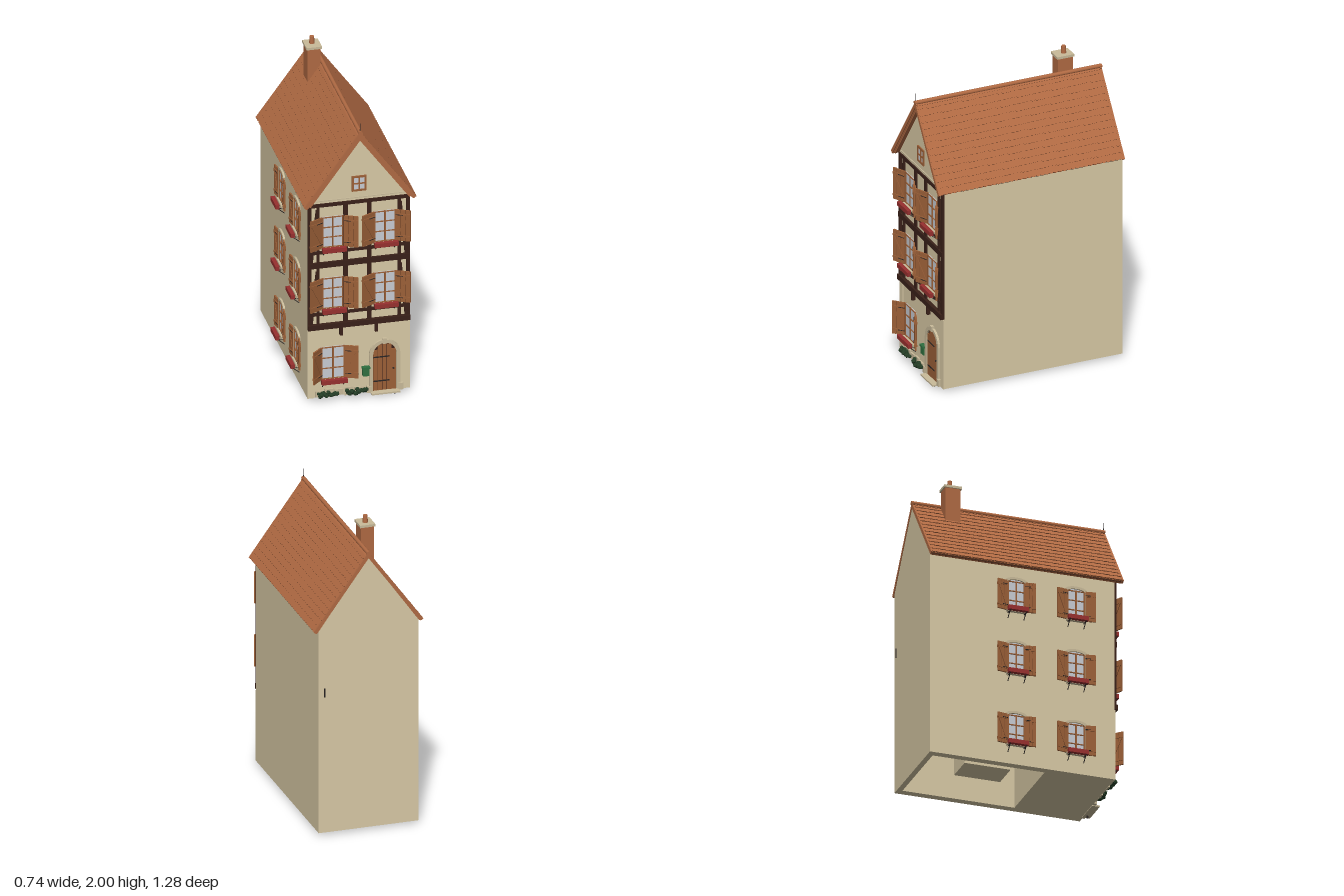
import * as THREE from 'three';

const mat = (name, color) => Object.assign(new THREE.MeshStandardMaterial({ color }), { name });
const M = {
  plaster: mat('plaster', 0xd9caa6),
  stone: mat('stone', 0xc9bb9a),
  roof: mat('roofTile', 0xb06a43),
  timber: mat('darkTimber', 0x3a2119),
  wood: mat('shutterWood', 0x9c6038),
  glass: mat('glass', 0xc9cdd4),
  red: mat('redFlowerBox', 0x98302f),
  leaf: mat('leaf', 0x243d26),
  green: mat('greenPaint', 0x2f7040),
  iron: mat('iron', 0x2a2524),
};

function add(parent, name, geo, material, x = 0, y = 0, z = 0) {
  const m = new THREE.Mesh(geo, material);
  m.name = name;
  m.position.set(x, y, z);
  parent.add(m);
  return m;
}
const box = (p, name, m, w, h, d, x, y, z) => add(p, name, new THREE.BoxGeometry(w, h, d), m, x, y, z);
const group = (p, name) => {
  const g = new THREE.Group();
  g.name = name;
  p.add(g);
  return g;
};
const extrude = (shape, depth) => new THREE.ExtrudeGeometry(shape, { depth, bevelEnabled: false, curveSegments: 10 });
const poly = (pts) => new THREE.Shape(pts.map(([x, y]) => new THREE.Vector2(x, y)));

// Straight bar between two points in the xy plane
function bar(p, name, m, x1, y1, x2, y2, t, d, z) {
  const b = box(p, name, m, t, Math.hypot(x2 - x1, y2 - y1), d, (x1 + x2) / 2, (y1 + y2) / 2, z);
  b.rotation.z = -Math.atan2(x2 - x1, y2 - y1);
}

// Upright outline with a round or shallow arched top, base on y = 0
function arch(w, spring, rise, path = new THREE.Shape()) {
  path.moveTo(-w / 2, 0);
  path.lineTo(w / 2, 0);
  path.lineTo(w / 2, spring);
  for (let i = 1; i <= 12; i++) {
    const a = (i / 12) * Math.PI;
    path.lineTo((Math.cos(a) * w) / 2, spring + Math.sin(a) * rise);
  }
  path.closePath();
  return path;
}

// Plank shutter hinged at its inner edge; side is -1 or +1
function shutter(p, side, x, w, h, angle) {
  const g = group(p, 'shutter');
  g.position.set(x, 0, 0.008);
  g.rotation.y = -side * angle;
  const n = 3;
  for (let i = 0; i < n; i++)
    box(g, 'shutterPlank', M.wood, w / n - 0.002, h, 0.01, side * (i + 0.5) * w / n, h / 2, 0);
  for (const z of [-0.007, 0.007]) {
    for (const t of [0.15, 0.85]) box(g, 'shutterBatten', M.wood, w * 0.95, 0.014, 0.005, side * w / 2, h * t, z);
    bar(g, 'shutterBrace', M.wood, side * 0.01, h * 0.18, side * (w - 0.01), h * 0.82, 0.01, 0.004, z);
  }
  for (const t of [0.15, 0.85]) box(g, 'hinge', M.iron, w * 0.5, 0.004, 0.002, side * w * 0.25, h * t, 0.0105);
}

// Casement with glazing bars, shutters and flower box, facing +z, sill at y = 0
function makeWindow(p, { w, h, sw, angles, arched }) {
  const g = group(p, 'window');
  if (arched) {
    const s = arch(w + 0.024, h, 0.026);
    s.holes.push(arch(w, h - 0.012, 0.022, new THREE.Path()));
    add(g, 'windowSurround', extrude(s, 0.012), M.stone, 0, 0, 0);
    add(g, 'glass', extrude(arch(w, h - 0.012, 0.022), 0.003), M.glass);
  } else box(g, 'glass', M.glass, w, h, 0.004, 0, h / 2, 0.002);
  for (const x of [-w / 2 + 0.005, 0, w / 2 - 0.005]) box(g, 'windowUpright', M.wood, 0.009, h, 0.009, x, h / 2, 0.005);
  for (const t of [0.02, 0.34, 0.66, 0.98]) box(g, 'windowRail', M.wood, w, 0.006, 0.008, 0, h * t, 0.005);
  [-1, 1].forEach((s, i) => shutter(g, s, (s * w) / 2, sw, h, angles[i]));
  box(g, 'sill', M.stone, w + 0.01, 0.012, 0.022, 0, -0.004, 0.011);
  const bw = w + 0.012;
  box(g, 'flowerBox', M.red, bw, 0.028, 0.026, 0, 0, 0.046);
  for (const x of [-bw * 0.4, bw * 0.4]) {
    const b = box(g, 'flowerBoxBracket', M.iron, 0.004, 0.058, 0.004, x, -0.033, 0.022);
    b.rotation.x = 0.88;
    box(g, 'flowerBoxArm', M.iron, 0.004, 0.004, 0.05, x, -0.016, 0.028);
  }
}

const L = -0.31, R = 0.335, CX = 0.0125, F = 0.578, B = -0.625;
const EAVE = 1.36, PEAK = 1.815;

function buildWalls(house) {
  // Hollow shell, drawn in plan (y of the shape is -z)
  const plan = poly([[L, -F], [R, -F], [R, -B], [L, -B]]);
  const inner = [[L + 0.05, -0.14], [L + 0.05, -B - 0.035], [R - 0.05, -B - 0.035], [R - 0.05, -0.14]];
  plan.holes.push(new THREE.Path(inner.map(([x, y]) => new THREE.Vector2(x, y))));
  const shell = add(house, 'walls', extrude(plan, EAVE - 0.02), M.plaster, 0, 0.02, 0);
  shell.rotation.x = -Math.PI / 2;
  box(house, 'innerCore', M.plaster, 0.19, 1.28, 0.3, -0.05, 0.7, -0.19);
  // Gables fill the roof space
  add(house, 'gable', extrude(poly([[L, EAVE], [R, EAVE], [CX, PEAK]]), F - B + 0.006), M.plaster, 0, 0, B);
  for (const x of [L + 0.022, R - 0.022]) box(house, 'cornerPier', M.plaster, 0.045, 0.47, 0.008, x, 0.255, F + 0.002);
  box(house, 'wallAnchor', M.iron, 0.006, 0.06, 0.006, 0.296, 0.95, B - 0.002);
}

function buildTimber(house) {
  const g = group(house, 'timberFrame');
  for (const [y, h, d] of [[0.512, 0.034, 0.024], [0.595, 0.018, 0.012], [0.935, 0.036, 0.016], [1.02, 0.018, 0.012], [1.348, 0.022, 0.014]])
    box(g, 'beam', M.timber, R - L, h, d, CX, y, F + d / 2);
  for (const [x, w] of [[L + 0.011, 0.022], [-0.245, 0.018], [-0.07, 0.028], [0.078, 0.026], [0.268, 0.02], [R - 0.011, 0.022]])
    box(g, 'post', M.timber, w, 0.85, 0.012, x, 0.93, F + 0.006);
  for (const y of [0.53, 0.955])
    for (const s of [-1, 1])
      bar(g, 'brace', M.timber, CX + s * 0.3, y, CX + s * 0.262, y + 0.36, 0.018, 0.01, F + 0.006);
  for (const x of [-0.1, 0.122]) box(g, 'corbel', M.timber, 0.018, 0.06, 0.022, x, 0.47, F + 0.011);
}

function buildRoof(house) {
  const g = group(house, 'roof');
  const run = 0.347, rise = 0.475, len = Math.hypot(run, rise), pitch = Math.atan2(rise, run);
  const top = 1.838, z0 = 0.622, rows = 14, cols = 42;
  for (const s of [-1, 1]) {
    // Slope frame: local x runs down the slope, local y is the outward normal
    const slope = group(g, 'roofSlope');
    slope.position.set(CX, top, 0);
    if (s < 0) slope.rotation.y = Math.PI;
    const tilt = group(slope, 'slopeTilt');
    tilt.rotation.z = -pitch;
    box(tilt, 'roofDeck', M.roof, len, 0.02, 2 * z0, len / 2, -0.012, 0);
    // Overlapping courses with scalloped lower edges
    const cw = (2 * z0) / cols, step = len / rows;
    const course = new THREE.Shape();
    course.moveTo(0, -z0);
    course.lineTo(step, -z0);
    for (let i = 0; i < cols; i++) {
      const z = -z0 + i * cw;
      course.quadraticCurveTo(step + 0.012, z + cw / 2, step, z + cw);
    }
    course.lineTo(0, z0);
    course.closePath();
    const geo = new THREE.ExtrudeGeometry(course, { depth: 0.006, bevelEnabled: false, curveSegments: 4 });
    geo.rotateX(-Math.PI / 2);
    for (let r = 0; r < rows; r++) {
      const m = add(tilt, 'tileCourse', geo, M.roof, r * step, -0.004, 0);
      m.rotation.z = 0.11;
    }
    // Verge boards and eave fascia
    for (const e of [-1, 1]) {
      box(tilt, 'vergeTiles', M.roof, len + 0.012, 0.022, 0.012, len / 2, -0.006, e * z0);
      if (e * s) box(tilt, 'vergeBoard', M.roof, len - 0.02, 0.014, 0.012, len / 2 - 0.005, -0.025, e * (z0 - 0.008));
    }
    box(g, 'eaveFascia', M.timber, 0.016, 0.016, 2 * z0 - 0.01, CX + s * 0.332, 1.364, 0);
  }
  const ridge = add(g, 'ridgeTiles', new THREE.CylinderGeometry(0.013, 0.013, 1.262, 12), M.roof, CX, 1.842, 0);
  ridge.rotation.x = Math.PI / 2;
  add(g, 'finial', new THREE.CylinderGeometry(0.0015, 0.003, 0.06, 6), M.iron, CX, 1.875, 0.622);
  box(g, 'gableSill', M.stone, 0.58, 0.006, 0.008, CX, 1.378, F + 0.008);
  // Chimney
  const c = group(house, 'chimney');
  box(c, 'chimneyStack', M.roof, 0.083, 0.26, 0.1, -0.042, 1.81, -0.393);
  box(c, 'chimneyCap', M.stone, 0.098, 0.016, 0.114, -0.042, 1.945, -0.393);
  add(c, 'chimneyPot', new THREE.CylinderGeometry(0.014, 0.017, 0.05, 14), M.roof, -0.042, 1.975, -0.4);
}

function buildDoor(house) {
  const g = group(house, 'entrance');
  g.position.set(0.176, 0.02, F);
  const frame = arch(0.196, 0.255, 0.098);
  frame.holes.push(arch(0.148, 0.255, 0.076, new THREE.Path()));
  add(g, 'doorSurround', extrude(frame, 0.014), M.stone);
  add(g, 'doorBacking', extrude(arch(0.15, 0.255, 0.077), 0.002), M.timber);
  for (let i = -2; i <= 2; i++) {
    const h = 0.255 + 0.075 * Math.sqrt(1 - ((Math.abs(i) + 0.4) / 2.6) ** 2);
    box(g, 'doorPlank', M.wood, 0.027, h, 0.006, i * 0.029, h / 2, 0.004);
  }
  for (const y of [0.07, 0.235]) box(g, 'strapHinge', M.iron, 0.1, 0.008, 0.003, -0.02, y, 0.008);
  add(g, 'doorKnob', new THREE.SphereGeometry(0.006, 10, 8), M.iron, 0.055, 0.15, 0.01);
  box(g, 'keystone', M.stone, 0.026, 0.036, 0.02, 0, 0.346, 0.01);
  for (const s of [-1, 1]) box(g, 'doorBase', M.stone, 0.03, 0.045, 0.02, s * 0.1, 0.0225, 0.01);
  box(g, 'doorstep', M.stone, 0.18, 0.01, 0.05, 0, 0, 0.022);
  box(g, 'footScraper', M.iron, 0.01, 0.02, 0.01, 0.06, -0.01, 0.02);
}

function buildGarden(house) {
  // Letter box
  box(house, 'letterBox', M.green, 0.04, 0.052, 0.022, 0.056, 0.165, F + 0.012);
  box(house, 'letterBoxLid', M.green, 0.05, 0.012, 0.03, 0.056, 0.196, F + 0.014);
  // Low shrubs and footing stones
  let seed = 7;
  const rnd = () => (seed = (seed * 16807) % 2147483647) / 2147483647;
  for (const cx of [-0.185, -0.003])
    for (let i = 0; i < 16; i++) {
      const r = 0.011 + rnd() * 0.006;
      const m = add(house, 'shrub', new THREE.IcosahedronGeometry(r, 0), M.leaf,
        cx + (i / 15 - 0.5) * 0.12, 0.03 + rnd() * 0.026, F + 0.014 + rnd() * 0.024);
      m.rotation.set(rnd() * 3, rnd() * 3, 0);
    }
  for (let i = 0; i < 5; i++) box(house, 'footingStone', M.stone, 0.055, 0.04 + (i % 2) * 0.015, 0.012, -0.235 + i * 0.062, 0.045, F + 0.004);
}

export function createModel() {
  const house = new THREE.Group();
  house.name = 'townHouse';
  buildWalls(house);
  buildTimber(house);
  buildRoof(house);
  buildDoor(house);
  buildGarden(house);

  // Front windows
  const place = (x, y, z, turn, opts) => {
    const g = group(house, 'windowPlace');
    g.position.set(x, y, z);
    g.rotation.y = turn;
    makeWindow(g, opts);
  };
  for (const y of [0.63, 1.052])
    for (const x of [-0.151, 0.178]) place(x, y, F + 0.002, 0, { w: 0.138, h: 0.212, sw: 0.093, angles: [0.45, 0.45] });
  place(-0.15, 0.142, F, 0, { w: 0.152, h: 0.222, sw: 0.085, angles: [0.75, 0.4] });

  // Side windows
  for (const y of [0.15, 0.63, 1.055])
    for (const z of [-0.065, 0.325])
      place(L, y, z, -Math.PI / 2, { w: 0.118, h: 0.2, sw: 0.068, angles: [0.15, 0.15], arched: true });

  // Gable window
  const g = group(house, 'gableWindow');
  g.position.set(0.014, 1.474, F + 0.006);
  box(g, 'glass', M.glass, 0.085, 0.095, 0.004, 0, 0, 0.002);
  for (const s of [-1, 0, 1]) {
    const t = s ? 0.012 : 0.008;
    box(g, 'frameUpright', M.wood, t, 0.104, 0.01, s * 0.04, 0, 0.004);
    box(g, 'frameRail', M.wood, 0.09, t, 0.01, 0, s * 0.046, 0.004);
  }
  return house;
}
